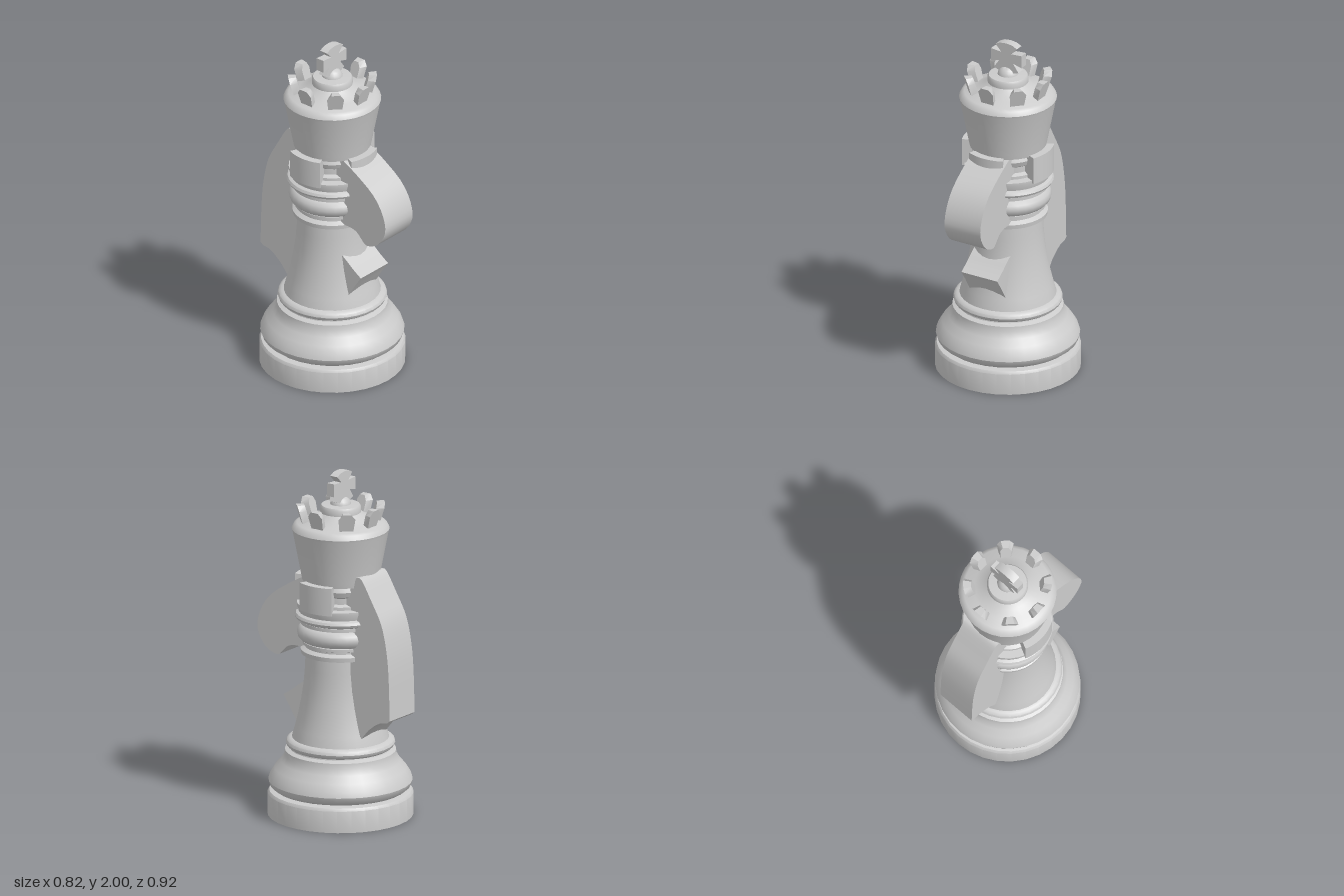
import * as THREE from 'three';
import { toCreasedNormals } from 'three/addons/utils/BufferGeometryUtils.js';

const AXIS_Z = -0.03; // the turned body sits slightly behind the centre

export function createModel() {
  const model = new THREE.Group();
  const material = new THREE.MeshStandardMaterial({ color: 0xcccccc });
  const v2 = ([x, y]) => new THREE.Vector2(x, y);

  function add(parent, name, geometry, crease = 0.6) {
    const mesh = new THREE.Mesh(toCreasedNormals(geometry, crease), material);
    mesh.name = name;
    parent.add(mesh);
    return mesh;
  }
  const lathe = (name, points) =>
    add(turned, name, new THREE.LatheGeometry(points.map(v2), 32));

  // half-round moulding as [radius, y] points
  const bead = (inner, outer, y0, y1) => Array.from({ length: 7 }, (_, i) => {
    const a = (i / 6) * Math.PI;
    return [inner + (outer - inner) * Math.sin(a), (y0 + y1) / 2 - ((y1 - y0) / 2) * Math.cos(a)];
  });

  const turned = new THREE.Group();
  turned.name = 'turnedBody';
  turned.position.z = AXIS_Z;
  model.add(turned);

  // base, stem and collar
  lathe('base', [[0, 0], [0.41, 0], [0.41, 0.125], [0.4, 0.14], [0.375, 0.145], [0, 0.145]]);
  lathe('lowerBulge', [[0.3, 0.14], [0.37, 0.15], [0.395, 0.17], [0.405, 0.2], [0.395, 0.23],
    [0.37, 0.27], [0.335, 0.31], [0.315, 0.345], [0.312, 0.375], [0.285, 0.385], [0.28, 0.4]]);
  lathe('stemRing', bead(0.265, 0.307, 0.388, 0.45));
  lathe('stem', [[0.28, 0.4], [0.272, 0.45], [0.255, 0.51], [0.238, 0.58], [0.22, 0.67],
    [0.207, 0.76], [0.199, 0.86], [0.196, 0.95]]);
  lathe('collar', [[0.19, 0.94], [0.222, 0.94], [0.225, 0.965], [0.2, 0.98], [0.2, 0.99],
    [0.213, 0.995], [0.213, 1.012], [0.2, 1.015]]);
  lathe('middleBead', bead(0.195, 0.245, 1.012, 1.115));
  lathe('neck', [[0.2, 1.01], [0.2, 1.11], [0.225, 1.115], [0.225, 1.135], [0.21, 1.14], [0.21, 1.15]]);
  lathe('upperBead', bead(0.205, 0.258, 1.135, 1.19));
  lathe('towerFloor', [[0.2, 1.18], [0.235, 1.185], [0.245, 1.22], [0.245, 1.235], [0.15, 1.24]]);
  lathe('towerCore', [[0.2, 1.23], [0.2, 1.255], [0.175, 1.265], [0.175, 1.3], [0.19, 1.31],
    [0.202, 1.34], [0.19, 1.37], [0.18, 1.39]]);

  // four curved battlements
  const half = 0.44;
  const arc = new THREE.Shape();
  arc.absarc(0, 0, 0.26, -half, half, false);
  arc.absarc(0, 0, 0.175, half, -half, true);
  arc.closePath();
  for (let i = 0; i < 4; i++) {
    const g = new THREE.ExtrudeGeometry(arc, { depth: 0.16, bevelEnabled: false, curveSegments: 6 });
    g.rotateX(-Math.PI / 2).translate(0, 1.22, 0).rotateY((i * Math.PI) / 2);
    add(turned, 'battlement', g);
  }

  // crown cup with its domed lid
  lathe('crown', [[0, 1.37], [0.216, 1.37], [0.222, 1.4], [0.27, 1.65], [0.275, 1.665],
    [0.262, 1.69], [0.245, 1.7], [0.19, 1.715], [0.14, 1.74], [0.115, 1.76],
    [0.115, 1.79], [0.108, 1.802], [0.07, 1.805], [0, 1.81]]);

  // eight flaring crown points
  const point = new THREE.Shape([[-0.038, 0], [0.038, 0], [0.048, 0.088], [0.025, 0.118],
    [-0.025, 0.118], [-0.048, 0.088]].map(v2));
  for (let i = 0; i < 8; i++) {
    const g = new THREE.ExtrudeGeometry(point, { depth: 0.044, bevelEnabled: false });
    const p = g.attributes.position;
    for (let k = 0; k < p.count; k++) {
      // narrower on the inside, leaning outwards with height
      const z = p.getZ(k), y = p.getY(k);
      p.setX(k, p.getX(k) * (0.65 + z * 8));
      p.setZ(k, 0.172 + z + y * 0.28);
    }
    g.translate(0, 1.69, 0).rotateY((i * Math.PI) / 4);
    add(turned, 'crownPoint', g);
  }

  // ball and flared cross
  add(turned, 'finialBall', new THREE.SphereGeometry(0.06, 20, 12).translate(0, 1.795, 0));
  const right = [[0.02, 1.94], [0.1, 1.945], [0.1, 1.87], [0.045, 1.885], [0.08, 1.835], [0.03, 1.815]];
  const left = right.map(([x, y]) => [-x, y]).reverse();
  const top = [[-0.07, 1.98], [-0.04, 1.995], [0, 2], [0.04, 1.995], [0.07, 1.98], [0.032, 1.94]];
  const cross = new THREE.Shape([...left.slice(0, 5), [-0.032, 1.94], ...top, ...right.slice(1)].map(v2));
  add(turned, 'cross', new THREE.ExtrudeGeometry(cross, { depth: 0.05, bevelEnabled: false })
    .translate(0, 0, -0.03));

  // side-profile slabs in [z, y]: a smooth curve closed by straight corners
  function slab(name, curve, corners) {
    const smooth = new THREE.SplineCurve(curve.map(v2)).getPoints(24);
    const shape = new THREE.Shape([...smooth, ...corners.map(v2)]);
    const g = new THREE.ExtrudeGeometry(shape, { depth: 0.235, bevelEnabled: false });
    add(model, name, g.rotateY(-Math.PI / 2).translate(0.119, 0, 0));
  }
  slab('snout', [[0.15, 1.372], [0.25, 1.315], [0.365, 1.235], [0.43, 1.15], [0.46, 1.06],
    [0.45, 0.99], [0.4, 0.92], [0.325, 0.89], [0.29, 0.912], [0.25, 0.952], [0.2, 0.965]],
  [[0.05, 0.965], [0.05, 1.372]]);
  slab('mane', [[-0.23, 1.435], [-0.265, 1.425], [-0.335, 1.31], [-0.4, 1.19], [-0.435, 1.05],
    [-0.452, 0.89], [-0.46, 0.635]],
  [[-0.44, 0.62], [-0.4, 0.615], [-0.36, 0.595], [-0.31, 0.555], [-0.265, 0.5], [-0.15, 0.6],
    [-0.15, 1.3]]);
  slab('chest', [[0.05, 0.815], [0.15, 0.758], [0.22, 0.705], [0.28, 0.665]],
    [[0.238, 0.605], [0.195, 0.535], [0.15, 0.47], [0.05, 0.47]]);

  return model;
}
